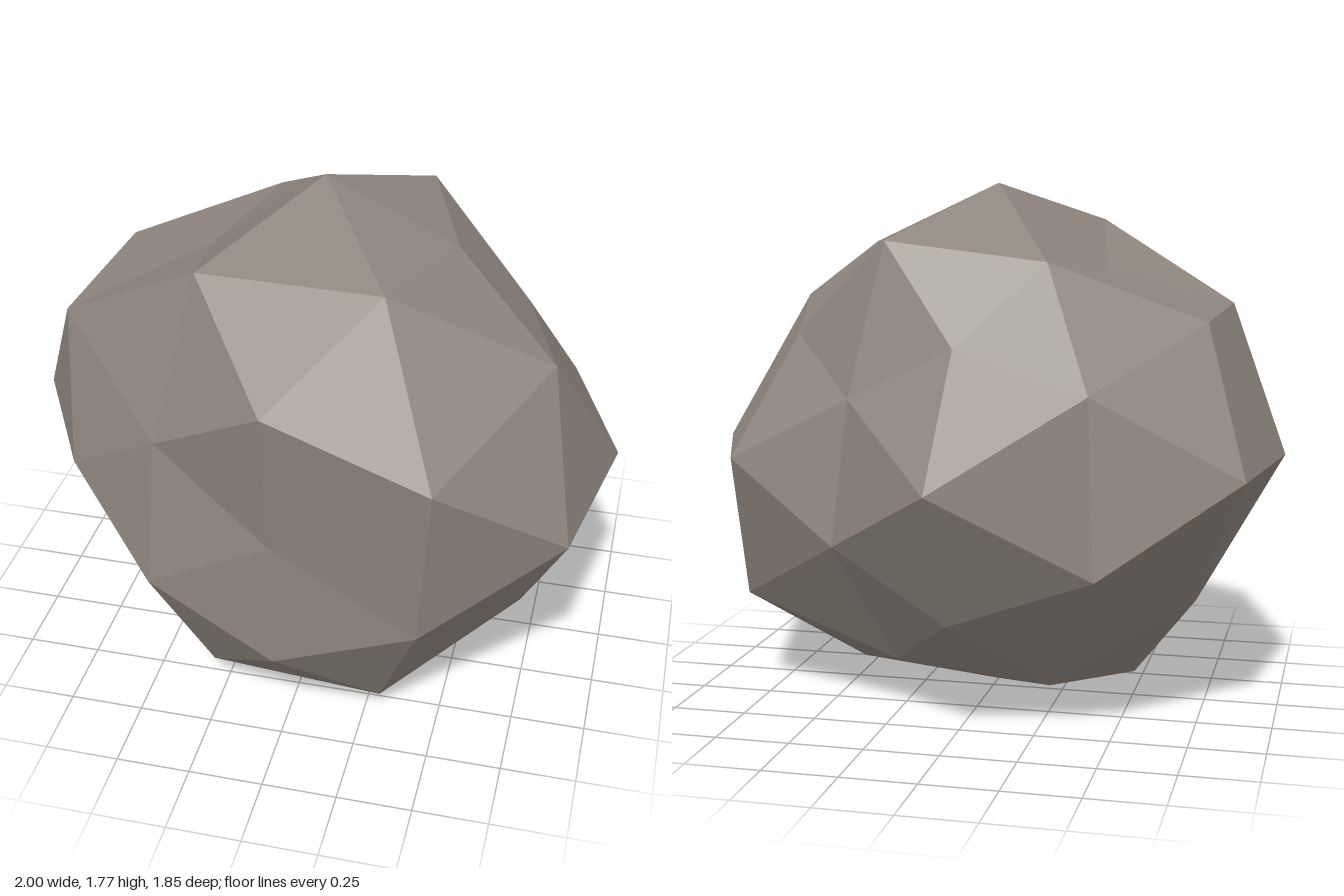
import * as THREE from 'three';

// Radius of each corner of a once-divided icosahedron, ordered by the signs
// of its non-zero coordinates (+ before -, x then y then z).
const RADII = {
  // points on an axis
  x: [1.0, 1.0],
  y: [0.91, 0.86],
  z: [0.77, 1.01],
  // icosahedron corners, named by their two non-zero coordinates
  xy: [0.83, 0.95, 0.73, 0.94],
  yz: [0.99, 0.765, 0.89, 0.885],
  xz: [1.055, 0.95, 0.88, 1.075],
  // edge midpoints, named by their dominant axis
  mostX: [0.985, 0.80, 0.91, 1.02, 0.975, 0.94, 0.85, 0.91],
  mostY: [0.94, 0.90, 0.975, 0.84, 0.955, 0.82, 0.94, 0.90],
  mostZ: [1.02, 0.73, 0.93, 0.81, 0.80, 0.885, 0.86, 0.95],
};

function radiusFor(dir) {
  const axes = ['x', 'y', 'z'].filter((a) => Math.abs(dir[a]) > 0.01);
  const index = axes.reduce((n, a) => n * 2 + (dir[a] < 0 ? 1 : 0), 0);
  let key = axes.join('');
  if (axes.length === 3) {
    key = 'most' + axes.find((a) => Math.abs(dir[a]) > 0.7).toUpperCase();
  }
  return RADII[key][index];
}

export function createModel() {
  const stone = new THREE.MeshStandardMaterial({ color: 0x8f867e });
  stone.name = 'stone grey';
  stone.flatShading = true;

  // Push every corner in or out along its direction to make a rough boulder
  const geometry = new THREE.IcosahedronGeometry(1, 1);
  const position = geometry.attributes.position;
  const p = new THREE.Vector3();
  for (let i = 0; i < position.count; i++) {
    p.fromBufferAttribute(position, i).normalize();
    p.multiplyScalar(radiusFor(p));
    position.setXYZ(i, p.x, p.y, p.z);
  }
  geometry.translate(0, 0.86, 0.08);
  geometry.computeVertexNormals();

  const boulder = new THREE.Mesh(geometry, stone);
  boulder.name = 'boulder';

  const model = new THREE.Group();
  model.name = 'rock';
  model.add(boulder);
  return model;
}
